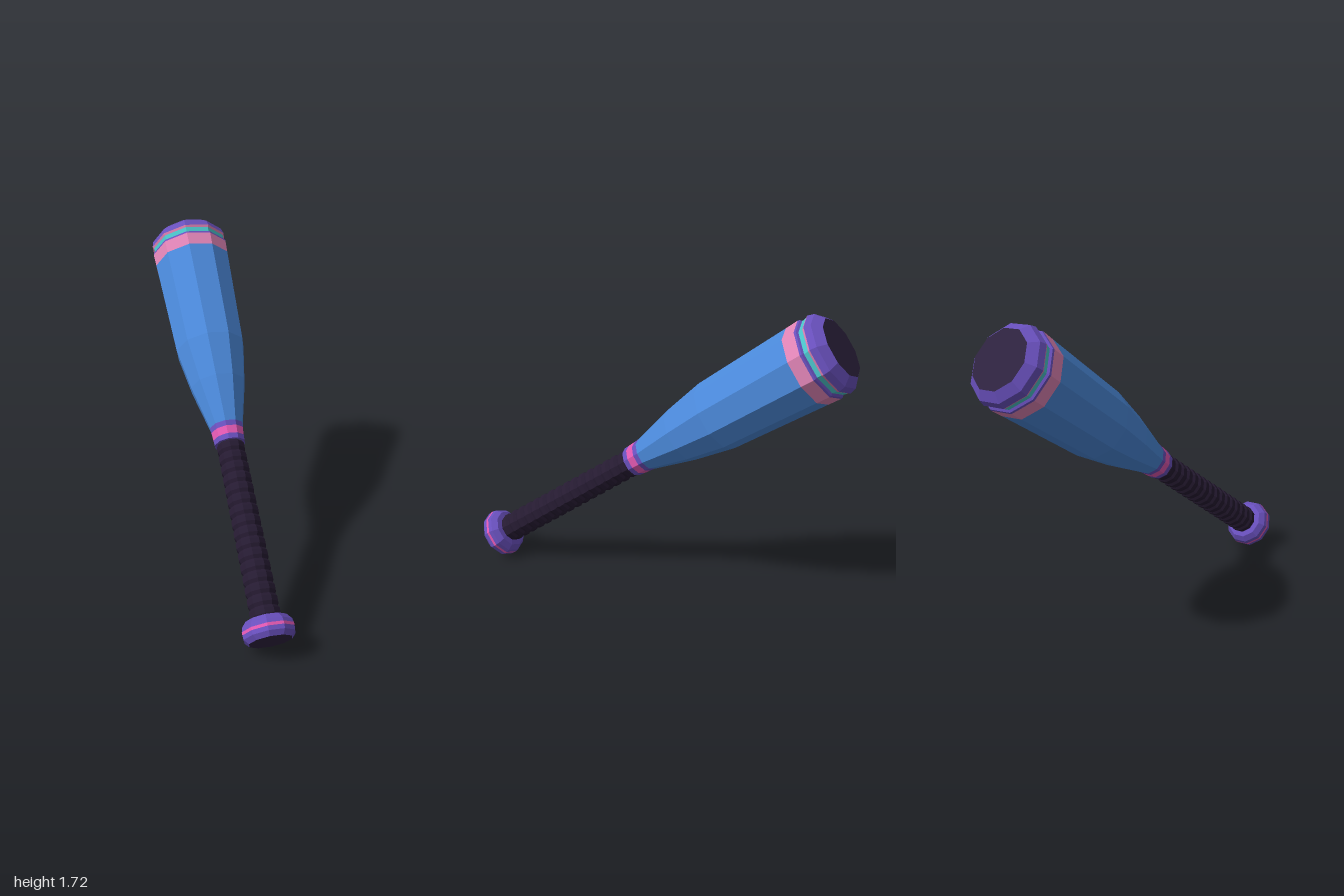
import * as THREE from 'three';

const SIDES = 10;

function paint(name, color) {
  const m = new THREE.MeshStandardMaterial({ color, flatShading: true });
  m.name = name;
  return m;
}

export function createModel() {
  const blue = paint('barrel blue', 0x4b89da);
  const purple = paint('purple', 0x6950bd);
  const pink = paint('hot pink', 0xe058b0);
  const rose = paint('soft pink', 0xe084b6);
  const teal = paint('teal', 0x4cc6cc);
  const dark = paint('end cap dark', 0x2e2340);
  const grip = paint('grip dark', 0x261b32);

  const bat = new THREE.Group();
  bat.name = 'bat';

  // Faceted ring turned around the bat's axis; profile is [radius, height] pairs
  function turn(name, material, profile) {
    const pts = profile.map(([r, y]) => new THREE.Vector2(r, y));
    const mesh = new THREE.Mesh(new THREE.LatheGeometry(pts, SIDES), material);
    mesh.name = name;
    bat.add(mesh);
  }

  // Knob
  turn('knobCap', dark, [[0, 0], [0.115, 0]]);
  turn('knobLower', purple, [[0.115, 0], [0.138, 0.025], [0.14, 0.048]]);
  turn('knobStripe', pink, [[0.14, 0.048], [0.14, 0.064]]);
  turn('knobUpper', purple, [[0.14, 0.064], [0.135, 0.085], [0.11, 0.115], [0.07, 0.12]]);

  // Wrapped grip: overlapping bands, each flaring towards the barrel
  const bands = 16, start = 0.11, end = 1.1;
  const wrap = [];
  for (let i = 0; i < bands; i++) {
    const step = (end - start) / bands;
    const y = start + i * step;
    const r = 0.083 - 0.005 * (i / bands);
    wrap.push([r - 0.010, y], [r, y + step * 0.3], [r, y + step * 0.75], [r - 0.010, y + step * 0.98]);
  }
  turn('gripWrap', grip, wrap);

  // Collar
  turn('collarLower', purple, [[0.07, 1.1], [0.086, 1.1], [0.088, 1.13]]);
  turn('collarStripe', pink, [[0.088, 1.13], [0.091, 1.175]]);
  turn('collarUpper', purple, [[0.091, 1.175], [0.094, 1.205]]);

  // Barrel
  turn('barrel', blue, [[0.094, 1.205], [0.156, 1.46], [0.198, 1.70], [0.222, 2.28]]);

  // Stripes and groove near the tip
  turn('tipBand', rose, [[0.222, 2.28], [0.226, 2.355]]);
  turn('grooveWall', purple, [[0.226, 2.355], [0.224, 2.366], [0.212, 2.374]]);
  turn('grooveStripe', teal, [[0.212, 2.374], [0.217, 2.400]]);
  turn('grooveLip', rose, [[0.217, 2.400], [0.224, 2.412]]);

  // Rounded tip
  turn('tip', purple, [[0.224, 2.412], [0.214, 2.448], [0.168, 2.488]]);
  turn('tipCap', dark, [[0.168, 2.488], [0, 2.488]]);

  // Lean the whole bat: knob low at the front, tip high at the back
  const axis = new THREE.Vector3(0.81, 1.485, -1.825).normalize();
  bat.quaternion.setFromUnitVectors(new THREE.Vector3(0, 1, 0), axis);
  bat.position.set(-0.43, 0.10, 0.94);

  const model = new THREE.Group();
  model.name = 'model';
  model.add(bat);
  return model;
}
